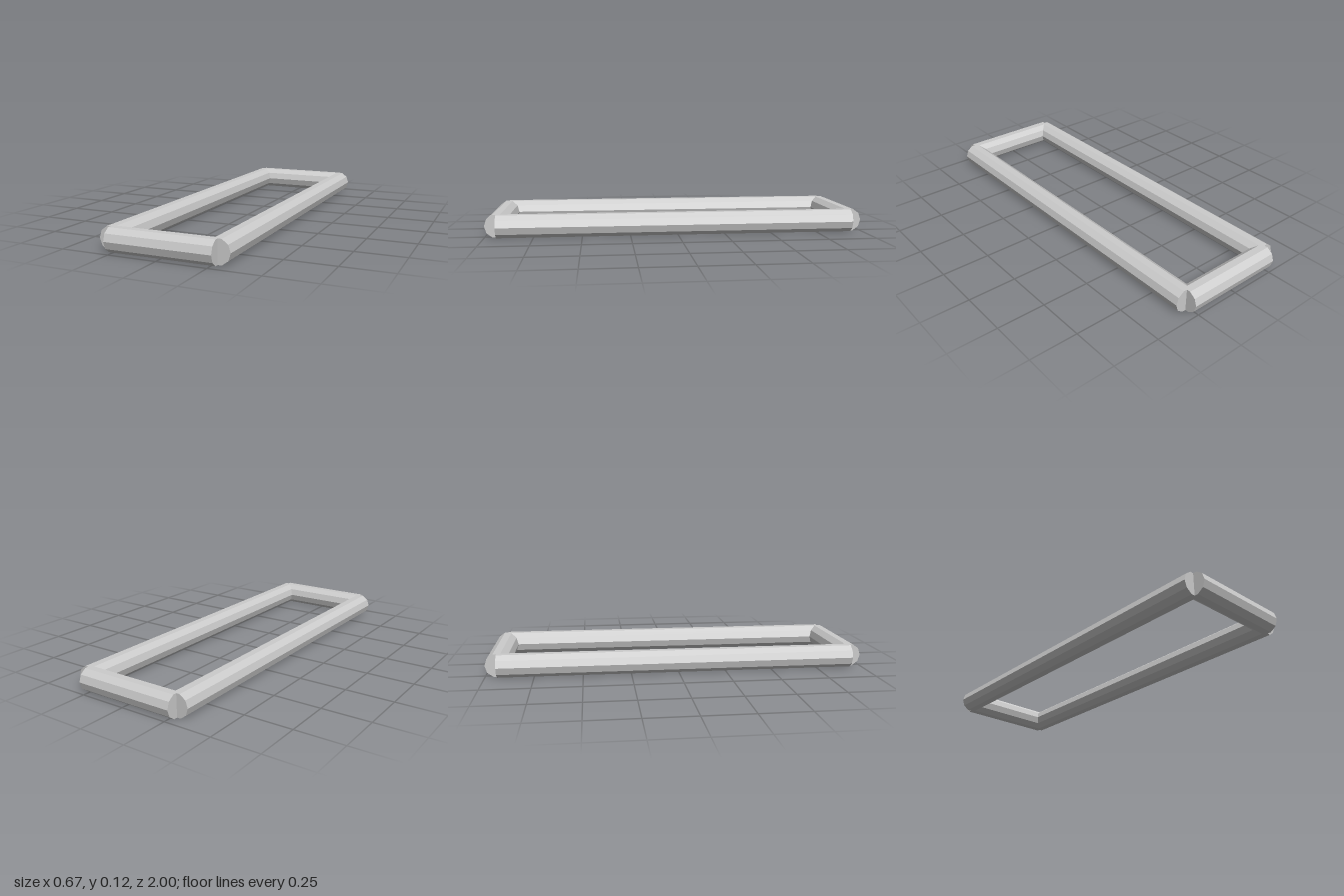
import * as THREE from 'three';

const RADIUS = 0.062;
const HALF_X = 0.271; // bar centre lines
const HALF_Z = 0.938;
const CENTRE_Y = RADIUS * Math.sin(Math.PI * 0.4); // flat facet rests on the ground

export function createModel() {
  const group = new THREE.Group();
  group.name = 'rectangularFrame';
  const material = new THREE.MeshStandardMaterial({ color: 0xcccccc, flatShading: true });

  // Ten-sided bar lying along x, edges pointing sideways, flats up and down
  const bar = (length) =>
    new THREE.CylinderGeometry(RADIUS, RADIUS, length, 10).rotateZ(Math.PI / 2);

  const add = (name, geometry, x, z) => {
    const mesh = new THREE.Mesh(geometry, material);
    mesh.name = name;
    mesh.position.set(x, CENTRE_Y, z);
    group.add(mesh);
  };

  // Each bar ends on the centre line of its neighbours, leaving notched outer corners
  const endBar = bar(2 * HALF_X);
  const sideBar = bar(2 * HALF_Z).rotateY(Math.PI / 2);
  add('frontBar', endBar, 0, HALF_Z);
  add('backBar', endBar, 0, -HALF_Z);
  add('leftBar', sideBar, HALF_X, 0);
  add('rightBar', sideBar, -HALF_X, 0);

  return group;
}
